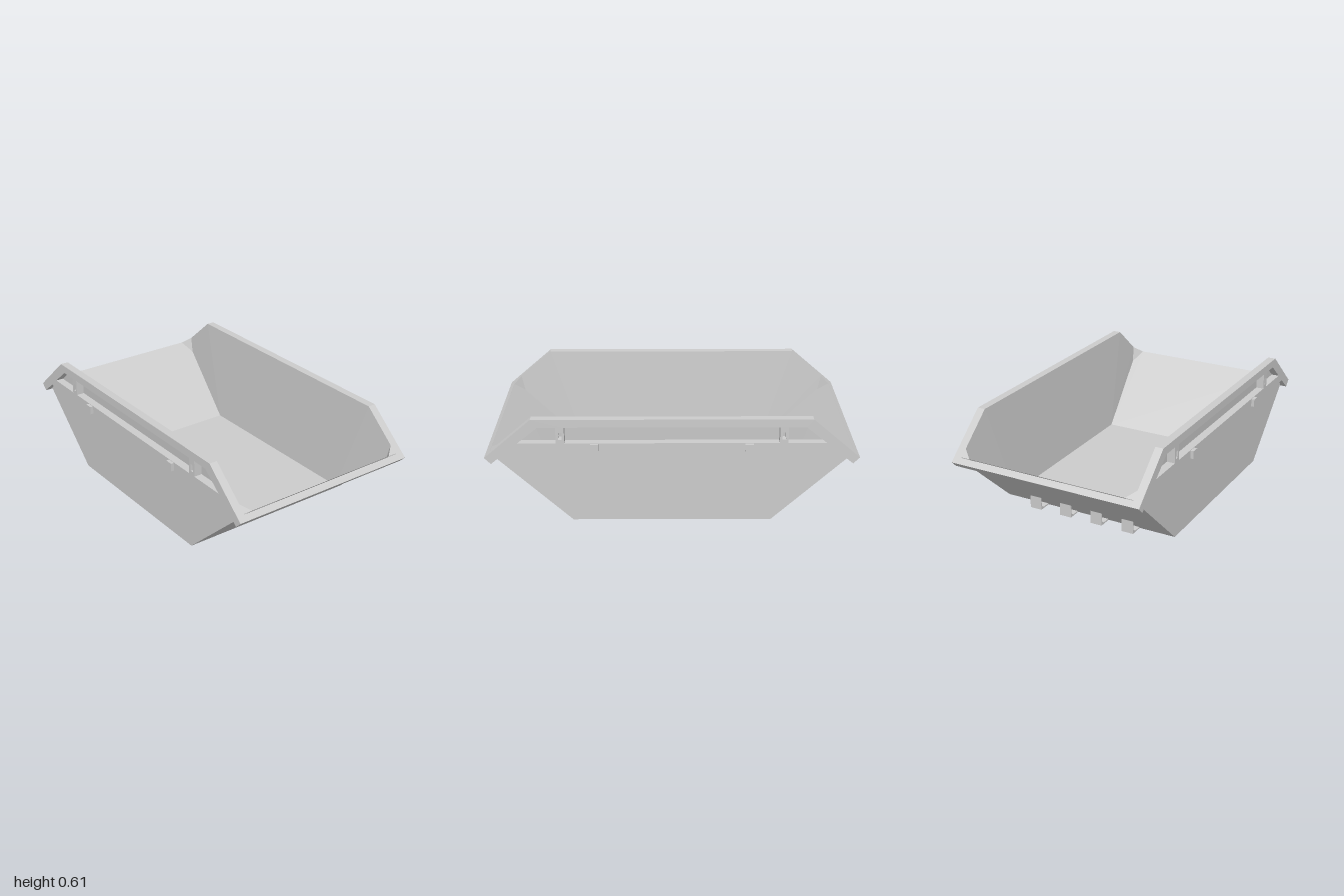
import * as THREE from 'three';

const material = new THREE.MeshStandardMaterial({ color: 0xcccccc, flatShading: true, side: THREE.DoubleSide });

function add(parent, name, geometry, x = 0, y = 0, z = 0) {
  const mesh = new THREE.Mesh(geometry, material);
  mesh.name = name;
  mesh.position.set(x, y, z);
  parent.add(mesh);
  return mesh;
}

// Flat convex faces, each a list of corners, joined into one sheet
function sheet(faces) {
  const pos = [];
  for (const f of faces)
    for (let i = 1; i < f.length - 1; i++) pos.push(...f[0], ...f[i], ...f[i + 1]);
  const g = new THREE.BufferGeometry();
  g.setAttribute('position', new THREE.Float32BufferAttribute(pos, 3));
  g.computeVertexNormals();
  return g;
}

// Faces plus their reflection across one axis (0 = x, 2 = z)
function mirrored(faces, axis) {
  const flip = p => p.map((v, i) => (i === axis ? -v : v));
  return [...faces, ...faces.map(f => f.map(flip).reverse())];
}

// Side profile of [z, y] points, extruded along x from x0 to x1
function profile(points, x0, x1, holes = []) {
  const toVec = p => new THREE.Vector2(p[0], p[1]);
  const shape = new THREE.Shape(points.map(toVec));
  for (const h of holes) shape.holes.push(new THREE.Path(h.map(toVec)));
  return new THREE.ExtrudeGeometry(shape, { depth: x1 - x0, bevelEnabled: false })
    .rotateY(-Math.PI / 2).translate(x1, 0, 0);
}

export function createModel() {
  const group = new THREE.Group();
  group.name = 'skipContainer';

  // Outer hull: flat floor, sloping ends, upright sides
  const ends = mirrored([[[-0.53, 0, 0.54], [0.53, 0, 0.54], [0.53, 0.37, 0.94], [-0.53, 0.37, 0.94]]], 2);
  const sides = mirrored([[[0.53, 0, 0.54], [0.53, 0, -0.54], [0.53, 0.37, -0.94],
    [0.53, 0.42, -0.88], [0.53, 0.42, 0.88], [0.53, 0.37, 0.94]]], 0);
  const bottom = [[-0.53, 0, -0.54], [0.53, 0, -0.54], [0.53, 0, 0.54], [-0.53, 0, 0.54]];
  add(group, 'hull', sheet([...ends, ...sides, bottom]));

  // Inner lining with small corner gussets
  const floorCorner = [0.48, 0.03, 0.56], topCorner = [0.515, 0.605, 0.745];
  const low = [0.51, 0.355, 0.91], lip = [0.465, 0.411, 0.97];
  const side = [0.515, 0.445, 0.93], lipCorner = [0.515, 0.411, 0.97];
  const mx = p => [-p[0], p[1], p[2]], mz = p => [p[0], p[1], -p[2]];
  const cornerFaces = mirrored(mirrored([
    [floorCorner, low, side, topCorner],
    [low, lip, side],
    [lip, lipCorner, side],
  ], 0), 2);
  const innerSides = mirrored([[mz(floorCorner), floorCorner, topCorner, mz(topCorner)]], 0);
  const innerEnds = mirrored([[floorCorner, mx(floorCorner), mx(low), mx(lip), lip, low]], 2);
  const floor = [floorCorner, mz(floorCorner), mx(mz(floorCorner)), mx(floorCorner)];
  add(group, 'lining', sheet([...cornerFaces, ...innerSides, ...innerEnds, floor]));

  // Side rims with recessed panels and hook slots
  const rim = [[1, 0.385], [0.745, 0.605], [-0.745, 0.605], [-1, 0.385],
    [-0.965, 0.35], [-0.88, 0.42], [0.88, 0.42], [0.965, 0.35]];
  const holes = [[[-0.57, 0.47], [0.57, 0.47], [0.57, 0.56], [-0.57, 0.56]]];
  for (const s of [1, -1]) {
    holes.push([[0.82, 0.47], [0.615, 0.47], [0.615, 0.56], [0.71, 0.56]].map(p => [s * p[0], p[1]]));
    holes.push([[0.603, 0.49], [0.583, 0.49], [0.583, 0.53], [0.597, 0.53]].map(p => [s * p[0], p[1]]));
  }
  for (const s of [1, -1]) {
    const name = s > 0 ? 'left' : 'right';
    add(group, name + 'Rim', profile(rim, s > 0 ? 0.515 : -0.56, s > 0 ? 0.56 : -0.515, holes));
    // Lifting lugs
    for (const z of [0.41, -0.41])
      add(group, name + 'Lug', new THREE.BoxGeometry(0.05, 0.045, 0.045), s * 0.553, 0.445, z);
    // End lips
    const endLip = [[1, 0.385], [0.972, 0.409], [0.938, 0.372], [0.965, 0.35]].map(p => [s * p[0], p[1]]);
    add(group, s > 0 ? 'frontLip' : 'backLip', profile(endLip, -0.515, 0.515));
  }

  // Row of hinged catches low on the back
  for (const x of [-0.29, -0.097, 0.097, 0.29]) {
    const latch = new THREE.Group();
    latch.name = 'backCatch';
    latch.position.x = x;
    add(latch, 'catchBase', new THREE.BoxGeometry(0.07, 0.008, 0.08), 0, 0.011, -0.588);
    add(latch, 'catchPlate', new THREE.BoxGeometry(0.07, 0.065, 0.006), 0, 0.05, -0.625);
    add(latch, 'catchKnuckle', profile([[-0.6, 0.012], [-0.628, 0.012], [-0.628, 0.034]], -0.035, 0.035));
    group.add(latch);
  }
  return group;
}
